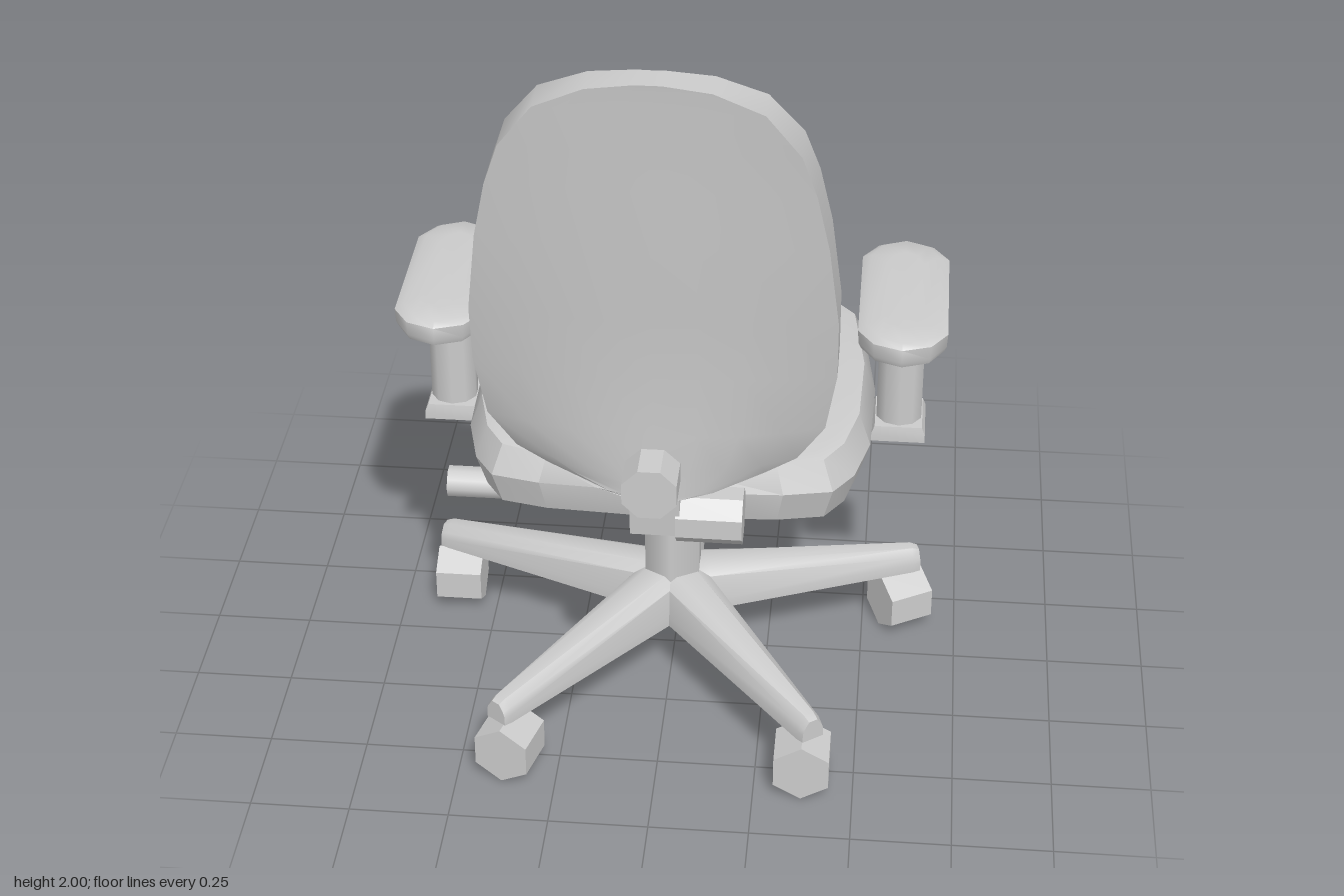
import * as THREE from 'three';
import { toCreasedNormals } from 'three/addons/utils/BufferGeometryUtils.js';

const material = new THREE.MeshStandardMaterial({ color: 0xcccccc });

function add(parent, name, geometry, x = 0, y = 0, z = 0) {
  const mesh = new THREE.Mesh(geometry, material);
  mesh.name = name;
  mesh.position.set(x, y, z);
  parent.add(mesh);
  return mesh;
}

// Solid skinned over closed rings of [x, y, z] points, capped at both ends.
function loft(rings, crease = 0.65) {
  const n = rings[0].length;
  const points = rings.flat();
  const index = [];
  for (let r = 0; r < rings.length - 1; r++) {
    for (let i = 0; i < n; i++) {
      const j = (i + 1) % n;
      const a = r * n + i, b = r * n + j;
      index.push(a, b, b + n, a, b + n, a + n);
    }
  }
  [0, rings.length - 1].forEach((r, end) => {
    const center = [0, 1, 2].map((k) => rings[r].reduce((s, p) => s + p[k], 0) / n);
    points.push(center);
    for (let i = 0; i < n; i++) {
      const a = r * n + i, b = r * n + (i + 1) % n;
      if (end) index.push(a, b, points.length - 1);
      else index.push(b, a, points.length - 1);
    }
  });
  // Turn the faces outward whichever way the rings run
  const v = points.map((p) => new THREE.Vector3(...p));
  let volume = 0;
  for (let i = 0; i < index.length; i += 3) {
    volume += v[index[i]].dot(v[index[i + 1]].clone().cross(v[index[i + 2]]));
  }
  if (volume < 0) index.reverse();
  const geometry = new THREE.BufferGeometry();
  geometry.setAttribute('position', new THREE.Float32BufferAttribute(points.flat(), 3));
  geometry.setIndex(index);
  return toCreasedNormals(geometry, crease);
}

// Completes half an outline whose first and last points lie on x = 0.
function mirrored(half) {
  return [...half, ...half.slice(1, -1).reverse().map(([x, z]) => [-x, z])];
}

function cylinder(radius, length, sides, axis = 'y', twist = 0, smooth = false) {
  const geometry = new THREE.CylinderGeometry(radius, radius, length, sides);
  geometry.rotateY(twist);
  if (axis === 'x') geometry.rotateZ(Math.PI / 2);
  if (axis === 'z') geometry.rotateX(Math.PI / 2);
  return smooth ? geometry : toCreasedNormals(geometry, 0.3);
}

function makeSeat(group) {
  const outline = mirrored([[0, -0.535], [0.2, -0.515], [0.4, -0.455], [0.475, -0.36], [0.51, -0.1],
    [0.505, 0.15], [0.47, 0.29], [0.42, 0.365], [0.3, 0.39], [0, 0.405]]);
  const ring = (y, scale, dip = 0) => outline.map(([x, z]) => {
    const px = x * scale;
    return [px, y - dip * (1 - (px / 0.5) ** 2), -0.065 + (z + 0.065) * scale];
  });
  add(group, 'seat', loft([ring(0.68, 0.95), ring(0.77, 1), ring(0.855, 0.94, 0.025),
    ring(0.87, 0.88, 0.035), ring(0.87, 0.45, 0.035)]));
}

function makeBackrest(group) {
  // Rows: height, half width, front edge z, rear centre z, rear curvature
  const rows = [
    [0.868, 0.06, 0.37, 0.58, 1.5], [0.88, 0.14, 0.367, 0.58, 1.4], [0.91, 0.26, 0.362, 0.58, 1.2],
    [0.95, 0.335, 0.363, 0.58, 0.8], [1.05, 0.40, 0.373, 0.58, 0.46], [1.21, 0.425, 0.39, 0.582, 0.28],
    [1.37, 0.425, 0.415, 0.595, 0.18], [1.58, 0.40, 0.447, 0.612, 0.12], [1.725, 0.37, 0.475, 0.623, 0.08],
    [1.83, 0.335, 0.5, 0.631, 0.04], [1.935, 0.255, 0.535, 0.64, 0], [1.985, 0.14, 0.557, 0.644, 0],
    [2, 0.03, 0.57, 0.646, 0],
  ];
  const steps = 8;
  const rings = rows.map(([y, w, front, rear, curve]) => {
    const ring = [];
    for (let i = 0; i <= steps; i++) {
      const u = (i / steps) * 2 - 1;
      ring.push([u * w, y, front + 0.02 * (1 - u * u) * (w / 0.425)]);
    }
    for (let i = steps; i >= 0; i--) {
      const x = ((i / steps) * 2 - 1) * w;
      ring.push([x, y, rear - curve * x * x]);
    }
    return ring;
  });
  add(group, 'backrest', loft(rings));

  // Bracket joining seat and backrest, profile drawn in z and y
  const profile = [[0.34, 0.7], [0.47, 0.69], [0.54, 0.74], [0.555, 0.92], [0.47, 0.92], [0.44, 0.79], [0.34, 0.79]];
  const shape = new THREE.Shape(profile.map(([z, y]) => new THREE.Vector2(-z, y)));
  const bracket = new THREE.ExtrudeGeometry(shape, { depth: 0.12, bevelEnabled: false });
  bracket.translate(0, 0, -0.06).rotateY(Math.PI / 2);
  add(group, 'backBracket', bracket);

  add(group, 'tiltKnob', cylinder(0.07, 0.16, 8, 'x', Math.PI / 8), 0.13, 0.77, 0.485);
  add(group, 'heightKnob', cylinder(0.07, 0.12, 8, 'z', Math.PI / 8), 0, 0.95, 0.615);
}

function makeArm(group, side) {
  const arm = new THREE.Group();
  arm.name = side > 0 ? 'leftArmrest' : 'rightArmrest';
  arm.position.set(side * 0.573, 0, -0.035);
  group.add(arm);
  const outline = mirrored([[0, -0.265], [0.07, -0.24], [0.11, -0.18], [0.11, 0.18], [0.07, 0.24], [0, 0.265]]);
  const ring = (y, sx, sz) => outline.map(([x, z]) => [x * sx, y, z * sz]);
  add(arm, 'armPad', loft([ring(1.05, 0.93, 0.98), ring(1.065, 0.98, 1), ring(1.1, 1, 1),
    ring(1.112, 0.8, 0.94), ring(1.117, 0.4, 0.7)], 0.9));
  add(arm, 'armPost', cylinder(0.06, 0.33, 10, 'y', 0, true), 0, 0.895, 0.003);
  const foot = (y, w, d) => [[-w, y, -d], [w, y, -d], [w, y, d], [-w, y, d]];
  add(arm, 'armFoot', loft([foot(0.708, 0.068, 0.074), foot(0.73, 0.068, 0.074), foot(0.75, 0.06, 0.07)], 0.2));
}

function makeBase(group) {
  const base = new THREE.Group();
  base.name = 'base';
  base.position.z = 0.04;
  group.add(base);
  add(base, 'column', cylinder(0.081, 0.5, 6, 'y', 0, true), 0, 0.44, 0);

  // Tapered legs with a rounded top
  const section = (r, w, top) => [[-w, 0.175, r], [-w, 0.2, r], [-w * 0.85, top - 0.02, r], [-w * 0.4, top, r],
    [w * 0.4, top, r], [w * 0.85, top - 0.02, r], [w, 0.2, r], [w, 0.175, r]];
  const leg = loft([section(0, 0.08, 0.3), section(0.09, 0.073, 0.295), section(0.655, 0.035, 0.24),
    section(0.675, 0.03, 0.232)], 0.8);
  // Each caster has swivelled to its own heading, in degrees from the z axis
  const headings = [0, -60, 25, 90, -15];
  const wheel = cylinder(0.08, 0.122, 6, 'z');
  headings.forEach((heading, i) => {
    const angle = ((36 + i * 72) * Math.PI) / 180;
    add(base, 'leg', leg).rotation.y = angle;
    const x = 0.63 * Math.sin(angle), z = 0.63 * Math.cos(angle);
    add(base, 'caster', wheel, x, 0.08, z).rotation.y = (heading * Math.PI) / 180;
    add(base, 'casterStem', cylinder(0.012, 0.06, 6), x, 0.165, z);
  });
}

function makeLever(group) {
  const path = new THREE.CurvePath();
  const points = [[-0.04, 0.69], [-0.1, 0.665], [-0.34, 0.515], [-0.4, 0.515]]
    .map(([x, y]) => new THREE.Vector3(x, y, 0.04));
  for (let i = 0; i < 3; i++) path.add(new THREE.LineCurve3(points[i], points[i + 1]));
  add(group, 'leverRod', new THREE.TubeGeometry(path, 24, 0.018, 8));
  add(group, 'leverHandle', cylinder(0.042, 0.215, 10, 'x', 0, true), -0.48, 0.517, 0.04);
}

export function createModel() {
  const group = new THREE.Group();
  group.name = 'officeChair';
  makeSeat(group);
  makeBackrest(group);
  for (const side of [-1, 1]) makeArm(group, side);
  makeBase(group);
  makeLever(group);
  return group;
}
